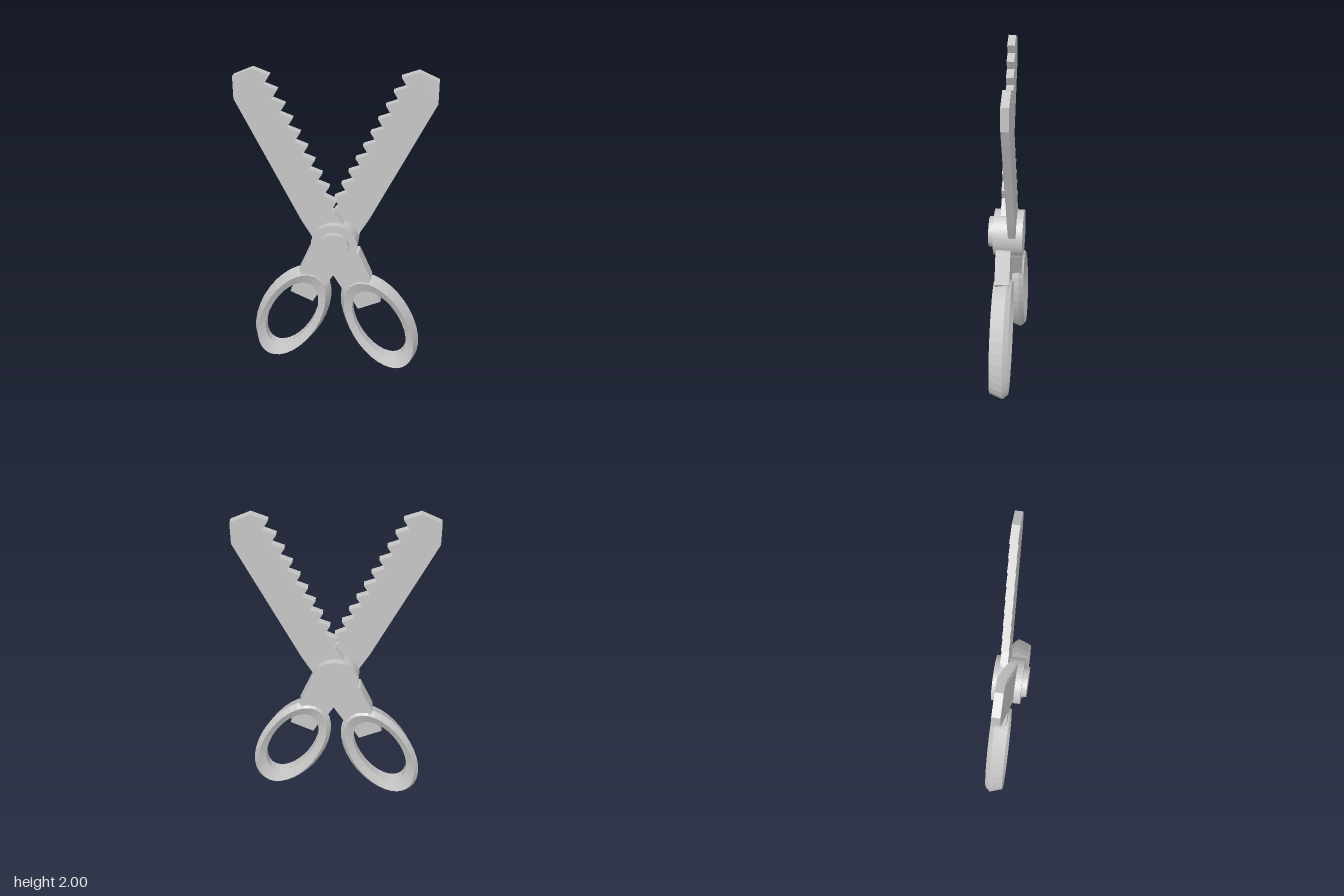
import * as THREE from 'three';

const steel = new THREE.MeshStandardMaterial({ color: 0xc6c6c6 });
steel.name = 'light grey steel';

function mesh(name, geometry) {
  const m = new THREE.Mesh(geometry, steel);
  m.name = name;
  return m;
}

// Flat plate cut from an outline, between two depths
function plate(points, side, zBack, zFront) {
  const shape = new THREE.Shape(points.map(([x, y]) => new THREE.Vector2(x * side, y)));
  const g = new THREE.ExtrudeGeometry(shape, { depth: zFront - zBack, bevelEnabled: false });
  return g.translate(0, 0, zBack);
}

// Saw-toothed blade outline, leaning towards +x
function bladeOutline() {
  const points = [[-0.05, 0.94], [0.125, 0.94], [0.145, 0.975], [0.2, 1.07], [0.566, 1.82], [0.566, 1.95], [0.455, 2]];
  for (let i = 0; i < 9; i++) {
    const x = 0.36 - i * 0.041, y = 1.965 - i * 0.0835;
    points.push([x, y], [x + 0.033, y - 0.055]);
  }
  points.push([-0.009, 1.205], [0, 1.182], [0.02, 1.145], [0, 1.13], [-0.05, 1.06]);
  return points;
}

// Elliptical finger loop with a bevelled section
function loopGeometry(segments = 32) {
  // half width, half height, depth: outer edge, front crest, inner wall, back crest
  const section = [
    [0.206, 0.3735, -0.02], [0.177, 0.343, 0.062], [0.137, 0.265, 0.036],
    [0.137, 0.265, -0.022], [0.179, 0.345, -0.05],
  ];
  const n = section.length;
  const at = (i, j) => {
    const t = (i / segments) * Math.PI * 2;
    const [b, a, z] = section[j % n];
    return [b * Math.cos(t), a * Math.sin(t), z];
  };
  const positions = [];
  for (let i = 0; i < segments; i++) {
    for (let j = 0; j < n; j++) {
      const a = at(i, j), b = at(i + 1, j), c = at(i + 1, j + 1), d = at(i, j + 1);
      positions.push(...a, ...b, ...c, ...a, ...c, ...d);
    }
  }
  const g = new THREE.BufferGeometry();
  g.setAttribute('position', new THREE.Float32BufferAttribute(positions, 3));
  g.computeVertexNormals();
  return g;
}

// One half: the blade leans to one side, its handle to the other
function scissorHalf(name, handleSide) {
  const half = new THREE.Group();
  half.name = name;
  half.add(mesh('blade', plate(bladeOutline(), -handleSide, -0.015, 0.03)));

  // Thin end of the blade, reaching into the finger loop
  const tang = [[0.145, 0.455], [0.285, 0.52], [0.2, 0.7], [0.05, 0.63]];
  half.add(mesh('tang', plate(tang, handleSide, -0.015, 0.03)));

  // Thick shank between the pivot and the loop
  const shank = [[0.06, 0.595], [0.21, 0.665], [0.225, 0.69], [0.148, 0.872], [0.08, 0.875], [-0.08, 0.86], [-0.05, 0.78]];
  half.add(mesh('shank', plate(shank, handleSide, -0.037, 0.052)));

  const loop = mesh('fingerLoop', loopGeometry());
  loop.position.set(0.281 * handleSide, 0.35, 0);
  loop.rotation.z = 0.467 * handleSide;
  half.add(loop);
  return half;
}

// Disc facing the front
function disc(name, radius, zBack, zFront) {
  const g = new THREE.CylinderGeometry(radius, radius, zFront - zBack, 32);
  g.rotateX(Math.PI / 2).translate(0, 0.927, (zBack + zFront) / 2);
  return mesh(name, g);
}

export function createModel() {
  const model = new THREE.Group();
  model.name = 'scissors';
  const front = scissorHalf('frontHalf', 1);
  const back = scissorHalf('backHalf', -1);
  back.position.z = -0.051;
  model.add(front, back);

  // Pivot bolt through both halves
  model.add(disc('pivot', 0.139, -0.105, 0.07), disc('pivotHead', 0.092, 0.07, 0.102));
  return model;
}
